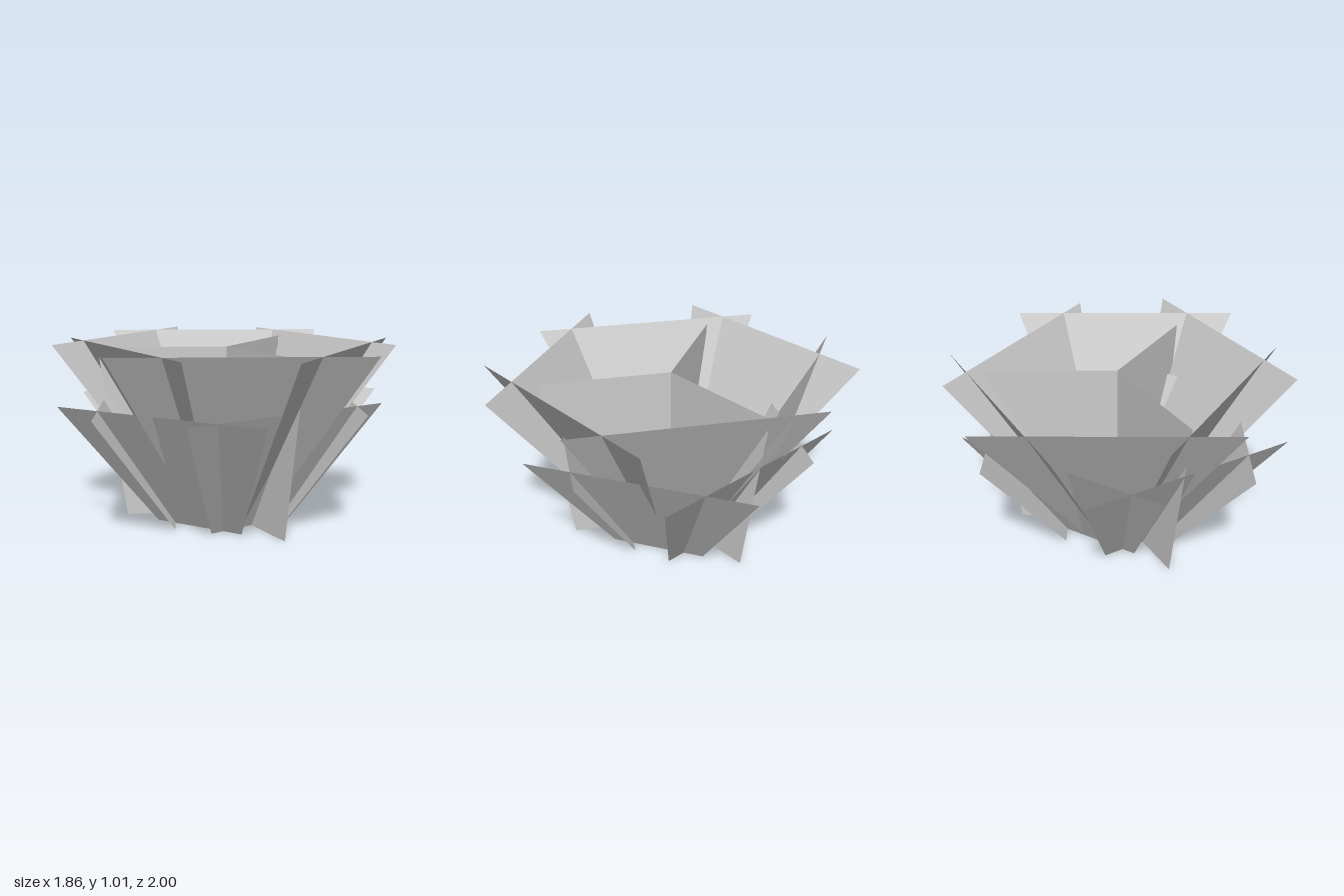
import * as THREE from 'three';

const material = new THREE.MeshStandardMaterial({ color: 0xcccccc, flatShading: true, side: THREE.DoubleSide });

// Flat four-cornered sheet, corners in loop order
function sheet(name, a, b, c, d) {
  const geometry = new THREE.BufferGeometry();
  geometry.setAttribute('position', new THREE.Float32BufferAttribute([...a, ...b, ...c, ...d], 3));
  geometry.setIndex([0, 1, 2, 0, 2, 3]);
  geometry.computeVertexNormals();
  const mesh = new THREE.Mesh(geometry, material);
  mesh.name = name;
  return mesh;
}

// Leaning panel: a top edge at the given height, shrunk toward the axis at y = 0
function panel(name, [x1, z1], [x2, z2], height, shrink) {
  return sheet(name,
    [x1 * shrink, 0, z1 * shrink], [x2 * shrink, 0, z2 * shrink],
    [x2, height, z2], [x1, height, z1]);
}

// Ring of six crossing panels: one straight pair and four mirrored slanted ones
function panelRing(name, straight, slanted, height, shrink) {
  const ring = new THREE.Group();
  ring.name = name;
  for (const s of [1, -1]) {
    const [p, q] = straight.map(([x, z]) => [x * s, z * s]);
    ring.add(panel(name + 'Panel', p, q, height, shrink));
    for (const t of [1, -1]) {
      let [a, b] = slanted.map(([x, z]) => [x * s, z * t]);
      if (s * t < 0) [a, b] = [b, a]; // keep the outside facing out when mirrored
      ring.add(panel(name + 'Panel', a, b, height, shrink));
    }
  }
  return ring;
}

export function createModel() {
  const model = new THREE.Group();
  model.name = 'facetedBowl';

  // Tall inner ring and short outer ring, turned 30 degrees to each other
  model.add(panelRing('upperRing', [[0.665, 0.665], [0.665, -0.665]], [[-0.24, 1], [0.905, 0.335]], 1.015, 0.262));
  model.add(panelRing('lowerRing', [[-0.62, 0.62], [0.62, 0.62]], [[0.31, 0.85], [0.93, -0.23]], 0.695, 0.43));

  // Three upright fins running out from the axis
  const fins = new THREE.Group();
  fins.name = 'fins';
  for (let i = 0; i < 3; i++) {
    const fin = sheet('fin', [0, 0, 0], [0, 0, 0.58], [0, 0.985, 0.728], [0, 0.985, 0]);
    fin.rotation.y = i * Math.PI * 2 / 3;
    fins.add(fin);
  }
  model.add(fins);
  return model;
}
